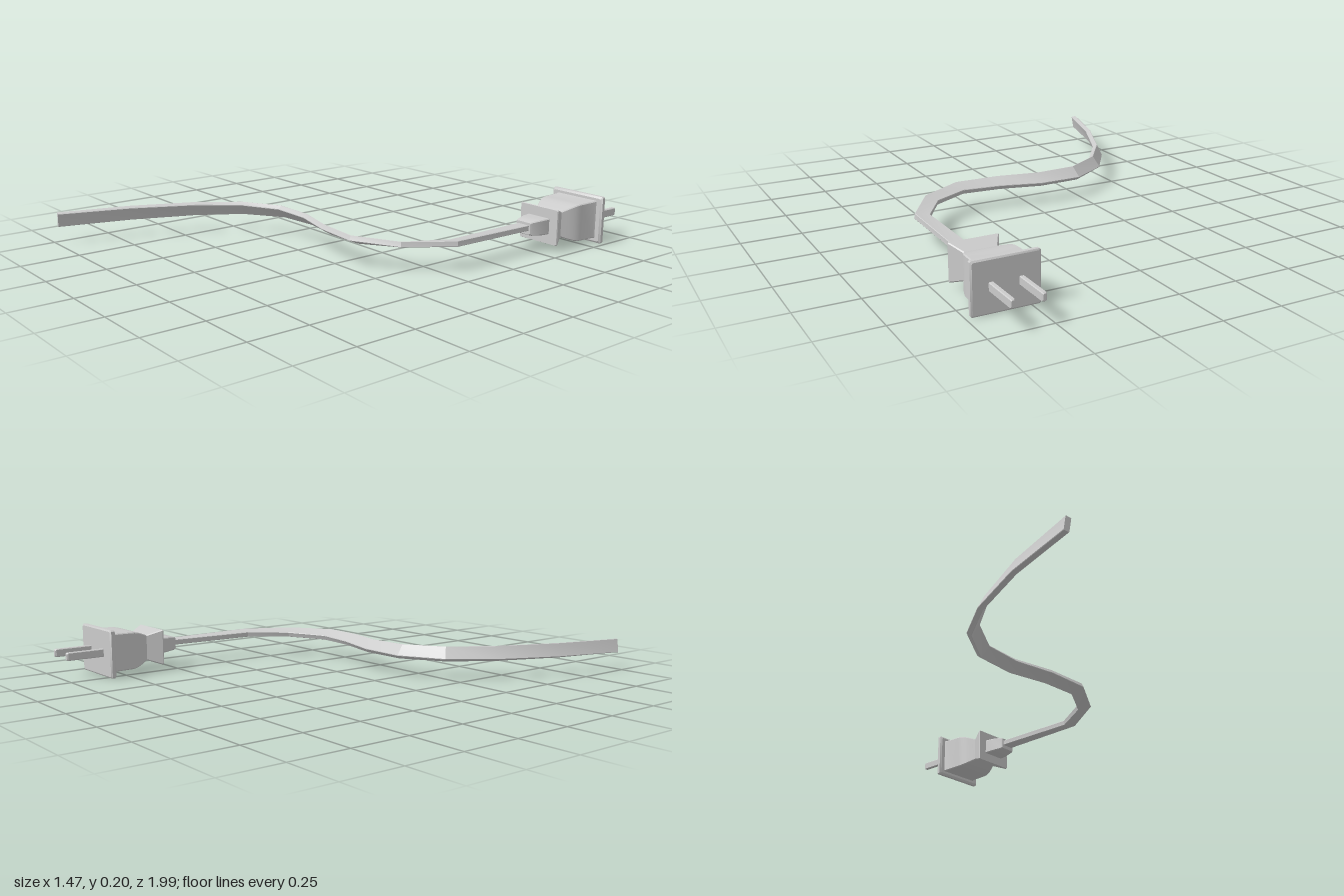
import * as THREE from 'three';
import { toCreasedNormals } from 'three/addons/utils/BufferGeometryUtils.js';

const material = new THREE.MeshStandardMaterial({ color: 0xcccccc, side: THREE.DoubleSide });
const V = (x, y, z) => new THREE.Vector3(x, y, z);

// Skin over equal-sized rings (counter-clockwise about the travel direction), capped at both ends
function loft(name, rings, crease = 0.5) {
  const n = rings[0].length, pos = [];
  const tri = (...pts) => pts.forEach(p => pos.push(p.x, p.y, p.z));
  for (let i = 0; i + 1 < rings.length; i++) {
    for (let j = 0; j < n; j++) {
      const k = (j + 1) % n, a = rings[i], b = rings[i + 1];
      tri(a[j], a[k], b[k]);
      tri(a[j], b[k], b[j]);
    }
  }
  const first = rings[0], last = rings[rings.length - 1];
  for (let j = 1; j + 1 < n; j++) {
    tri(first[0], first[j + 1], first[j]);
    tri(last[0], last[j], last[j + 1]);
  }
  const geo = new THREE.BufferGeometry();
  geo.setAttribute('position', new THREE.Float32BufferAttribute(pos, 3));
  const mesh = new THREE.Mesh(toCreasedNormals(geo, crease), material);
  mesh.name = name;
  return mesh;
}

// Rectangle outline with small chamfered corners, as [x, y] pairs
function outline(hx, hy, c) {
  return [[hx, -hy + c], [hx, hy - c], [hx - c, hy], [-hx + c, hy],
    [-hx, hy - c], [-hx, -hy + c], [-hx + c, -hy], [hx - c, -hy]];
}

// Solid along z from sections [z, halfWidth, halfHeight]
function block(name, sections, c, x = 0) {
  return loft(name, sections.map(([z, hx, hy]) =>
    outline(hx, hy, c).map(([px, py]) => V(px + x, py, z))));
}

function createPlug() {
  const plug = new THREE.Group();
  plug.name = 'plug';

  plug.add(block('facePlate', [[-0.836, 0.128, 0.096], [-0.831, 0.134, 0.102],
    [-0.817, 0.134, 0.102], [-0.81, 0.126, 0.094]], 0.005));

  // Body curves in to a waist, then flares into a finger grip
  const body = [[-0.815, 0.108, 0.084], [-0.8, 0.103, 0.081], [-0.72, 0.1, 0.08]];
  for (let i = 1; i <= 6; i++) {
    const t = i / 6, k = t * t * (1.6 - 0.6 * t);
    body.push([-0.72 + 0.088 * t, 0.1 - 0.033 * k, 0.08 - 0.025 * k]);
  }
  body.push([-0.572, 0.101, 0.077], [-0.567, 0.099, 0.075]);
  plug.add(block('gripBody', body, 0.004));

  plug.add(block('strainRelief', [[-0.575, 0.058, 0.034], [-0.53, 0.055, 0.033],
    [-0.48, 0.042, 0.029], [-0.472, 0.037, 0.025]], 0.004));

  for (const [side, x] of [['left', 0.058], ['right', -0.058]]) {
    plug.add(block(side + 'Prong', [[-1, 0.006, 0.013], [-0.994, 0.0095, 0.017],
      [-0.83, 0.0095, 0.017]], 0.003, x));
  }
  plug.position.set(0.598, 0.103, 0);
  return plug;
}

// Flat cord that twists gradually from lying flat to standing on edge
function createCord() {
  const path = [[0.598, -0.48], [0.596, -0.073], [0.484, 0.103], [0.312, 0.2], [0.13, 0.19],
    [-0.055, 0.148], [-0.24, 0.156], [-0.405, 0.257], [-0.525, 0.426], [-0.638, 0.69],
    [-0.722, 0.99]].map(([x, z]) => V(x, 0.106, z));
  const last = path.length - 1, up = V(0, 1, 0);
  const rings = path.map((p, i) => {
    const before = path[Math.max(i, 1)].clone().sub(path[Math.max(i, 1) - 1]).normalize();
    const j = Math.min(i, last - 1);
    const after = path[j + 1].clone().sub(path[j]).normalize();
    const tangent = before.clone().add(after).normalize();
    const miter = 1 / tangent.dot(after);
    const side = up.clone().cross(tangent);
    const a = (i / last) * THREE.MathUtils.degToRad(80);
    return outline(0.03, 0.0115, 0.002).map(([u, v]) => p.clone()
      .addScaledVector(side, (u * Math.cos(a) - v * Math.sin(a)) * miter)
      .addScaledVector(up, u * Math.sin(a) + v * Math.cos(a)));
  });
  return loft('cord', rings, 0.3);
}

export function createModel() {
  const model = new THREE.Group();
  model.name = 'powerCord';
  model.add(createPlug(), createCord());
  return model;
}
